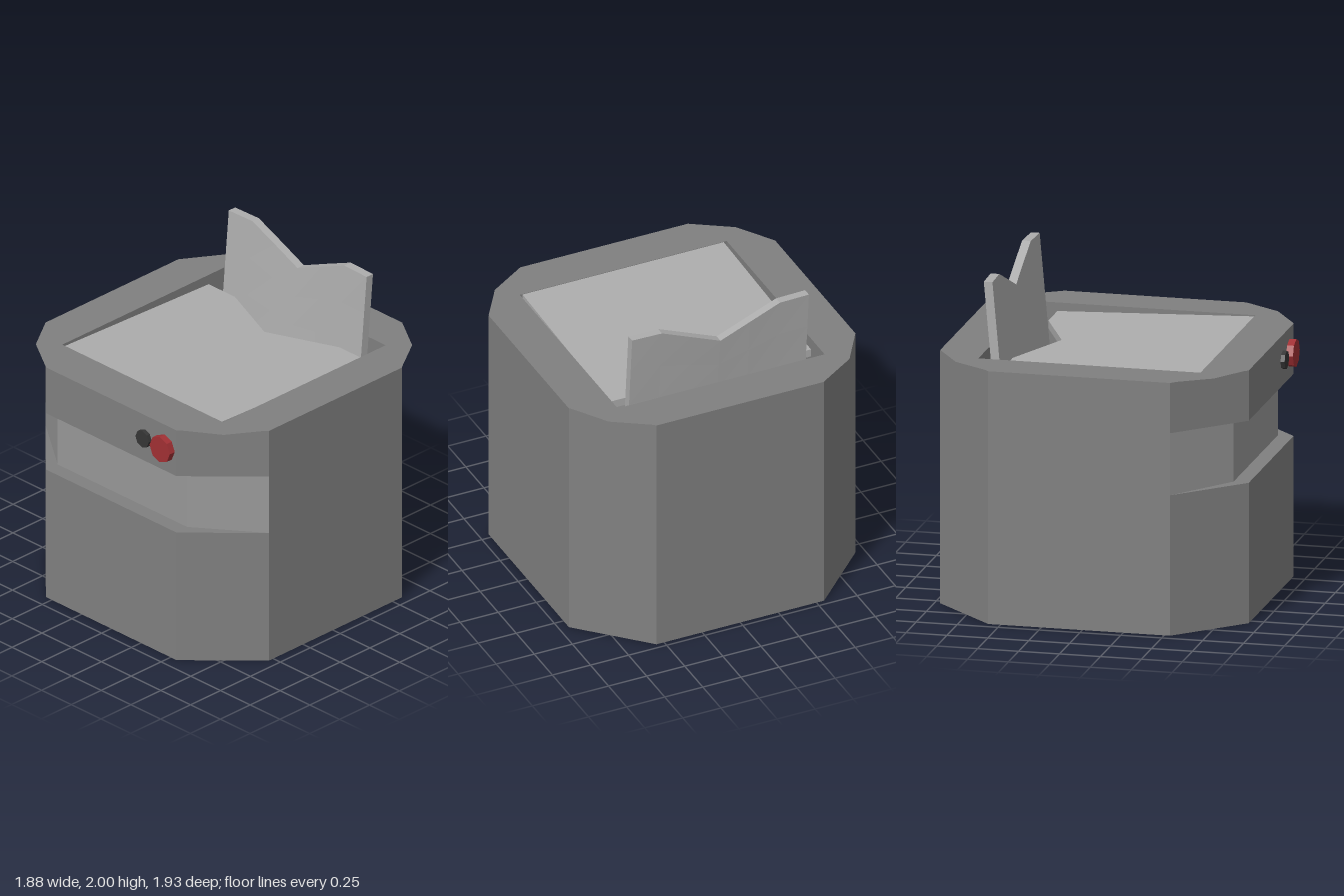
import * as THREE from 'three';

const paint = (color, side = THREE.FrontSide) =>
  new THREE.MeshStandardMaterial({ color, flatShading: true, side });
const bodyGrey = paint(0x808080);
const rimGrey = paint(0x808080, THREE.DoubleSide);
const panelGrey = paint(0x989898);
const lidGrey = paint(0xadadad);
const red = paint(0xa13034);
const dark = paint(0x363636);

// Plan points are [x, z]; shapes use y = -z so they lie flat after rotation.
const plan = (pts) => new THREE.Shape(pts.map(([x, z]) => new THREE.Vector2(x, -z)));
const mirrorX = (half) => [...half, ...half.slice().reverse().map(([x, y]) => [-x, y])];

function slab(shape, y0, y1) {
  const g = new THREE.ExtrudeGeometry(shape, { depth: y1 - y0, bevelEnabled: false });
  return g.rotateX(-Math.PI / 2).translate(0, y0, 0);
}

// Move each vertex by a rule
function warp(geometry, rule) {
  const p = geometry.attributes.position;
  const v = new THREE.Vector3();
  for (let i = 0; i < p.count; i++) {
    rule(v.fromBufferAttribute(p, i));
    p.setXYZ(i, v.x, v.y, v.z);
  }
  geometry.computeVertexNormals();
  return geometry;
}

export function createModel() {
  const group = new THREE.Group();
  const add = (name, geometry, material = bodyGrey) => {
    const mesh = new THREE.Mesh(geometry, material);
    mesh.name = name;
    group.add(mesh);
    return mesh;
  };

  // Half outlines from front to back
  const sides = [[0.94, 0.535], [0.94, -0.575], [0.55, -0.965]];
  const octagon = mirrorX([[0.55, 0.92], ...sides]);
  const rimOutline = mirrorX([[0.55, 0.92], [0.79, 0.765], [0.94, 0.535],
    [0.94, -0.575], [0.79, -0.81], [0.55, -0.965]]);
  const opening = () => plan(mirrorX([[0.68, 0.657], [0.68, -0.702]]));

  // Body: lower block, middle block with recessed front panel, hollow upper band
  const grooveBottom = 0.862;
  const grooveTop = 1.243;
  add('lowerBody', slab(plan(octagon), 0, grooveBottom));
  add('middleBody', slab(plan(mirrorX(sides)), grooveBottom, grooveTop));
  add('recessedPanel', slab(plan(mirrorX([[0.545, 0.826], [0.94, 0.535]])), grooveBottom, grooveTop), panelGrey);
  const upper = plan(octagon);
  upper.holes.push(opening());
  add('upperBody', slab(upper, grooveTop, 1.552));

  // Thin rim that overhangs the chamfered corners
  const rim = plan(rimOutline);
  rim.holes.push(opening());
  add('rim', new THREE.ShapeGeometry(rim).rotateX(-Math.PI / 2).translate(0, 1.555, 0), rimGrey);

  // Notched lid plate, sinking slightly to the back
  const lid = plan([[-0.66, 0.656], [0.66, 0.656], [0.66, -0.55], [0.44, -0.55],
    [0, -0.36], [-0.44, -0.55], [-0.66, -0.55]]);
  add('lid', warp(slab(lid, 1.50, 1.55), (v) => { v.y += 0.045 * (v.z - 0.656) / 1.2; }), lidGrey);

  // Upright notched flap, leaning back and bowed along its middle
  const flapBase = 1.28;
  const flap = new THREE.BoxGeometry(1.16, 1, 0.053, 6, 3, 1);
  add('flap', warp(flap, (v) => {
    const across = Math.abs(v.x);
    const top = Math.min(2, 1.835 + 0.43 * across);
    v.y = flapBase + (v.y + 0.5) * (top - flapBase);
    const rise = v.y - flapBase;
    v.z -= 0.6 + 0.09 * rise + 0.025 * rise * (1 - across / 0.58);
  }), lidGrey);

  // Front buttons
  const button = (name, x, radius, front, material) => {
    const g = new THREE.CylinderGeometry(radius, radius, front - 0.9, 8).rotateX(Math.PI / 2);
    add(name, g, material).position.set(x, 1.4, (front + 0.9) / 2);
  };
  button('redButton', 0.45, 0.085, 0.962, red);
  button('darkButton', 0.285, 0.056, 0.945, dark);

  return group;
}
